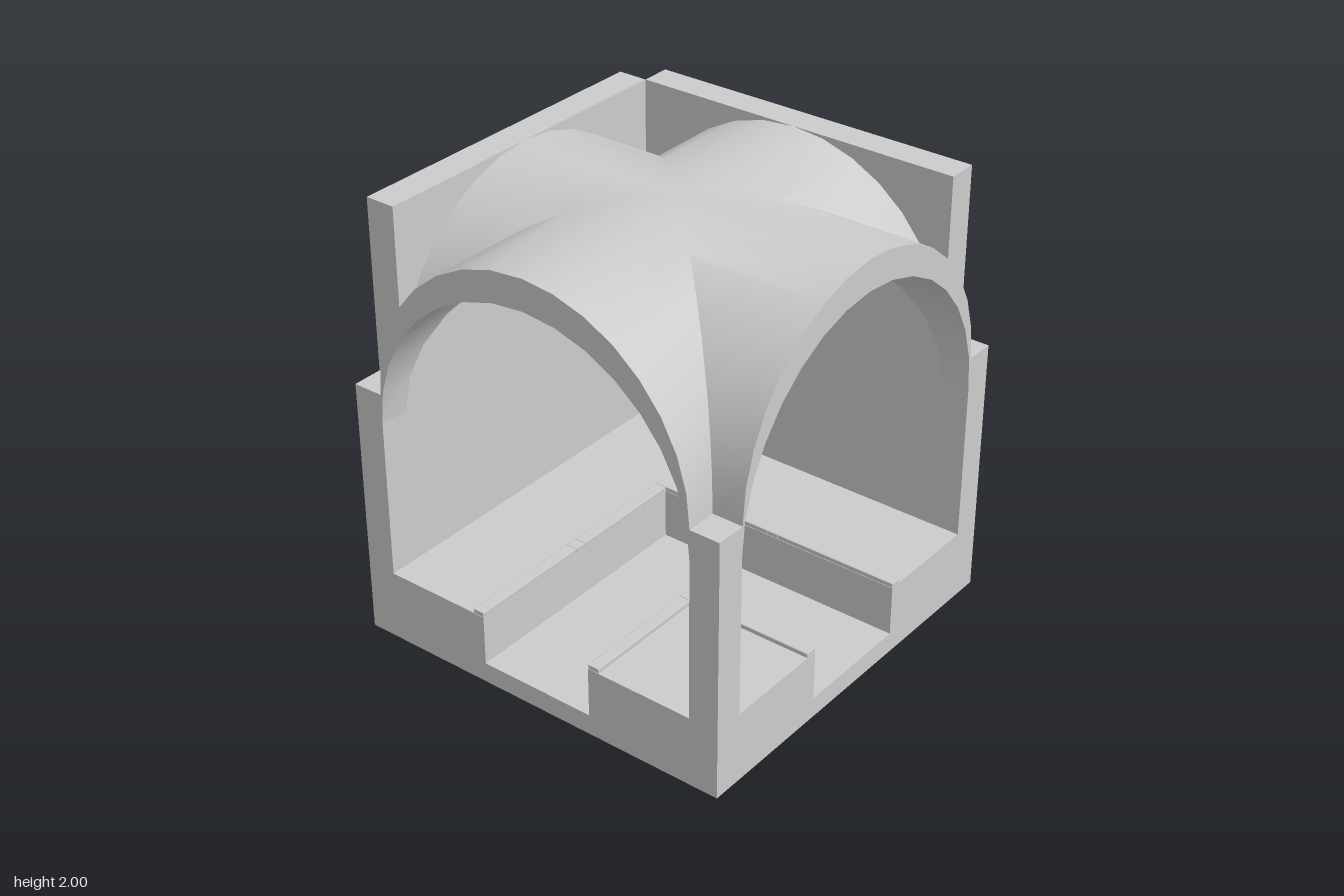
import * as THREE from 'three';
import { mergeGeometries, toCreasedNormals } from 'three/addons/utils/BufferGeometryUtils.js';
import { RoundedBoxGeometry } from 'three/addons/geometries/RoundedBoxGeometry.js';

const OUT = 0.93;      // half width of the block
const IN = 0.79;       // half width of the room, also the vault radius
const FLOOR = 0.33;    // walkway height
const BED = 0.095;     // channel bottom
const SPRING = 1.21;   // height of posts and vault springing
const SHELL = 0.14;    // vertical vault thickness
const CH = 0.28;       // half width of the channel
const RAIL = 0.055;    // kerb width

const stone = new THREE.MeshStandardMaterial({ color: 0xcccccc });
stone.name = 'light grey stone';

function add(group, name, geometry) {
  const mesh = new THREE.Mesh(geometry, stone);
  mesh.name = name;
  group.add(mesh);
  return mesh;
}

// Box given by its limits on each axis
function block(group, name, x0, x1, y0, y1, z0, z1) {
  const mesh = add(group, name, new THREE.BoxGeometry(x1 - x0, y1 - y0, z1 - z0));
  mesh.position.set((x0 + x1) / 2, (y0 + y1) / 2, (z0 + z1) / 2);
}

// One arm of the cross vault, from the diagonal groins out to z = end
function vaultArm(end, turns) {
  const n = 16, pos = [];
  const quad = (a, b, c, d) => [a, b, c, a, c, d].forEach(p => pos.push(...p));
  const section = i => {
    const t = (i / n - 0.5) * Math.PI;
    const x = IN * Math.sin(t), y = SPRING + IN * Math.cos(t), z = Math.abs(x);
    return {
      topIn: [x, y, z], topEnd: [x, y, end],
      lowIn: [x, y - SHELL, z], lowEnd: [x, y - SHELL, end],
    };
  };
  for (let i = 0; i < n; i++) {
    const p = section(i), q = section(i + 1);
    quad(p.topIn, p.topEnd, q.topEnd, q.topIn);
    quad(q.lowIn, q.lowEnd, p.lowEnd, p.lowIn);
    quad(p.lowEnd, q.lowEnd, q.topEnd, p.topEnd);
  }
  const g = new THREE.BufferGeometry();
  g.setAttribute('position', new THREE.Float32BufferAttribute(pos, 3));
  return g.rotateY(turns * Math.PI / 2);
}

export function createModel() {
  const model = new THREE.Group();
  model.name = 'vaulted channel junction';

  // Base slab, L-shaped walkway and the small corner walkway
  block(model, 'baseSlab', -OUT, OUT, 0, BED, -OUT, OUT);
  const ell = new THREE.Shape([
    [-OUT, -OUT], [-CH, -OUT], [-CH, CH], [OUT, CH], [OUT, OUT], [-OUT, OUT],
  ].map(([x, y]) => new THREE.Vector2(x, y)));
  const walkway = new THREE.ExtrudeGeometry(ell, { depth: FLOOR - BED, bevelEnabled: false });
  walkway.rotateX(-Math.PI / 2);
  add(model, 'walkway', walkway).position.y = BED;
  block(model, 'cornerWalkway', CH, OUT, BED, FLOOR, CH, OUT);

  // Corner posts
  for (const sx of [-1, 1]) for (const sz of [-1, 1]) {
    const x = sx > 0 ? IN : -OUT, z = sz > 0 ? IN : -OUT;
    block(model, 'cornerPost', x, x + OUT - IN, FLOOR, SPRING, z, z + OUT - IN);
  }

  // Closed walls at the back and on the right-hand side
  block(model, 'backWall', -IN, IN, FLOOR, 2, -OUT, -IN);
  block(model, 'sideWall', -OUT, -IN, FLOOR, 2, -IN, IN);

  // Cross vault: open arms reach the outer faces, closed arms stop at the walls
  const arms = [OUT, OUT, IN, IN].map((end, i) => vaultArm(end, i));
  add(model, 'crossVault', toCreasedNormals(mergeGeometries(arms), Math.PI / 5));

  // Kerb stones along the channel edges
  const kerbs = new THREE.Group();
  kerbs.name = 'kerbs';
  model.add(kerbs);
  const H = 0.022, E = CH + RAIL;
  const kerb = (x0, x1, z0, z1) => {
    const g = new RoundedBoxGeometry(x1 - x0, H, z1 - z0, 1, 0.004);
    add(kerbs, 'kerbStone', g).position.set((x0 + x1) / 2, FLOOR + H / 2, (z0 + z1) / 2);
  };
  const cuts = [-CH, CH, E, OUT];
  for (let i = 0; i < 3; i++) {
    kerb(-E, -CH, cuts[i], cuts[i + 1]);
    kerb(cuts[i], cuts[i + 1], -E, -CH);
  }
  kerb(-E, -CH, -E, -CH);
  kerb(CH, E, CH, E);
  kerb(CH, E, E, OUT);
  kerb(E, OUT, CH, E);

  return model;
}
